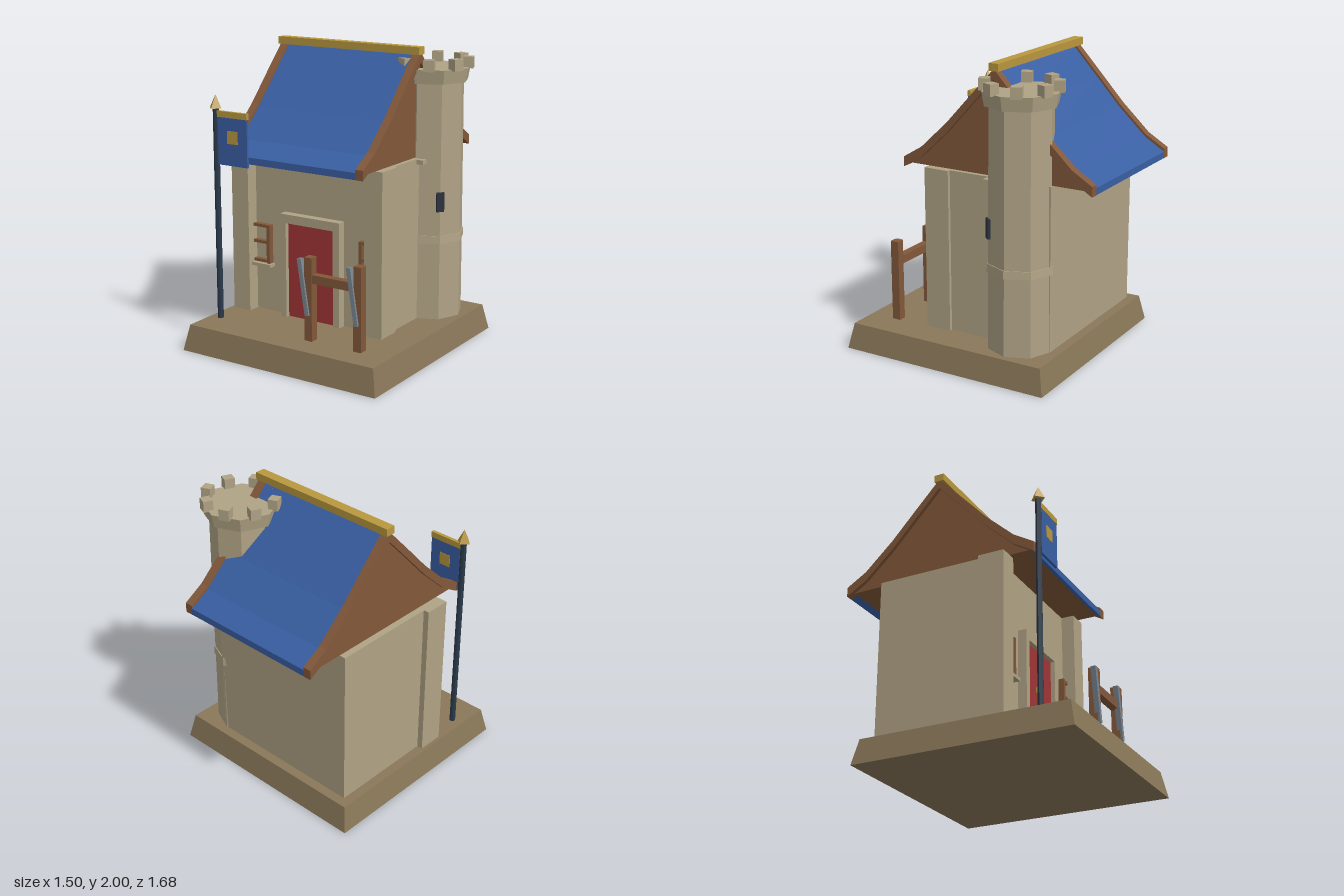
import * as THREE from 'three';

const mat = (name, color) => {
  const m = new THREE.MeshStandardMaterial({ color });
  m.name = name;
  m.flatShading = true;
  return m;
};

export function createModel() {
  const stone = mat('stone', 0xb0a385);
  const earth = mat('earth', 0x897758);
  const blue = mat('blue', 0x395fa3);
  const red = mat('red', 0xa23636);
  const wood = mat('wood', 0x82583a);
  const gold = mat('gold', 0xb9973f);
  const navy = mat('navy', 0x2a394a);
  const dark = mat('dark', 0x2a303c);
  const steel = mat('steel', 0x7c8791);

  const model = new THREE.Group();
  model.name = 'gatehouse';
  const add = (name, geo, m, x = 0, y = 0, z = 0) => {
    const mesh = new THREE.Mesh(geo, m);
    mesh.name = name;
    mesh.position.set(x, y, z);
    model.add(mesh);
    return mesh;
  };
  // box given by its limits on each axis
  const box = (name, m, [x0, x1], [y0, y1], [z0, z1]) =>
    add(name, new THREE.BoxGeometry(x1 - x0, y1 - y0, z1 - z0), m,
      (x0 + x1) / 2, (y0 + y1) / 2, (z0 + z1) / 2);

  // sloping plinth
  const ground = 0.175;
  const plinth = new THREE.CylinderGeometry(0.715 * Math.SQRT2, 0.75 * Math.SQRT2, ground, 4);
  plinth.rotateY(Math.PI / 4);
  add('plinth', plinth, earth, 0, ground / 2, 0.09);

  // house walls and front corner piers
  const wallTop = 1.275;
  box('walls', stone, [-0.65, 0.475], [ground, wallTop], [-0.56, 0.27]);
  box('rightPier', stone, [-0.69, -0.555], [ground, wallTop], [0.18, 0.36]);
  box('leftPier', stone, [0.365, 0.498], [ground, wallTop], [0.18, 0.36]);
  box('wallBracket', stone, [0.47, 0.525], [1.24, 1.27], [-0.145, -0.1]);

  // door with stone surround
  box('doorJamb', stone, [-0.315, -0.27], [ground, 0.89], [0.26, 0.33]);
  box('doorJamb', stone, [0.105, 0.155], [ground, 0.89], [0.26, 0.33]);
  box('doorLintel', stone, [-0.27, 0.105], [0.83, 0.89], [0.26, 0.33]);
  box('door', red, [-0.27, 0.105], [ground, 0.83], [0.26, 0.3]);
  box('doorHandle', gold, [-0.12, -0.045], [0.53, 0.57], [0.3, 0.309]);

  // windows tucked against the piers
  for (const [x0, x1, postX, sill] of [
    [-0.56, -0.42, -0.445, [-0.56, -0.405]],
    [0.29, 0.37, 0.29, [0.275, 0.37]],
  ]) {
    box('windowPost', wood, [postX, postX + 0.025], [0.515, 0.785], [0.26, 0.31]);
    for (const y of [0.52, 0.652, 0.765])
      box('windowBar', wood, [x0, x1], [y, y + 0.02], [0.26, 0.305]);
    box('windowSill', stone, sill, [0.495, 0.517], [0.26, 0.33]);
  }

  // curved roof: half profile as distance from the ridge and height
  const ridgeZ = -0.15;
  const slope = [[0, 1.965], [0.18, 1.772], [0.35, 1.587], [0.55, 1.4], [0.69, 1.316]];
  const line = (drop) => [
    ...slope.slice().reverse().map(([d, y]) => [-d, y - drop]),
    ...slope.slice(1).map(([d, y]) => [d, y - drop]),
  ];
  // extrude a (z, y) outline along x
  const alongX = (name, m, pts, x0, x1) => {
    const shape = new THREE.Shape(pts.map(([d, y]) => new THREE.Vector2(-d, y)));
    const geo = new THREE.ExtrudeGeometry(shape, { depth: x1 - x0, bevelEnabled: false });
    geo.rotateY(Math.PI / 2);
    return add(name, geo, m, x0, 0, ridgeZ);
  };
  const band = (top, bottom) => [...line(top), ...line(bottom).reverse()];
  alongX('roofSlopes', blue, band(0.02, 0.065), -0.575, 0.415);
  alongX('gableTrim', wood, band(0, 0.066), -0.63, -0.573);
  alongX('gableTrim', wood, band(0, 0.066), 0.413, 0.47);
  const attic = [[-0.648, wallTop], ...line(0.06).slice(1, -1), [0.648, wallTop]];
  alongX('gable', wood, attic, -0.605, 0.445);
  box('ridgeBeam', gold, [-0.635, 0.475], [1.95, 2], [-0.185, -0.117]);

  // octagonal tower
  const tx = 0.455, tz = -0.342;
  const ring = (name, top, bottom, y0, y1) => {
    const geo = new THREE.CylinderGeometry(top, bottom, y1 - y0, 8);
    add(name, geo, stone, tx, (y0 + y1) / 2, tz);
  };
  ring('towerShaft', 0.21, 0.222, ground, 1.78);
  ring('towerBand', 0.224, 0.228, 0.7, 0.752);
  ring('towerCap', 0.255, 0.238, 1.765, 1.857);
  for (let i = 0; i < 8; i++) {
    const a = (i + 0.5) * Math.PI / 4;
    const merlon = add('merlon', new THREE.BoxGeometry(0.07, 0.075, 0.065), stone,
      tx + Math.sin(a) * 0.232, 1.887, tz + Math.cos(a) * 0.232);
    merlon.rotation.y = a;
  }
  const slit = add('arrowSlit', new THREE.BoxGeometry(0.05, 0.13, 0.03), dark,
    tx + 0.15, 0.985, tz + 0.15);
  slit.rotation.y = Math.PI / 4;

  // rack with two leaning blades
  box('rackPost', wood, [0.09, 0.146], [ground, 0.73], [0.573, 0.632]);
  box('rackPost', wood, [0.46, 0.516], [ground, 0.73], [0.573, 0.632]);
  box('rackBeam', wood, [0.14, 0.465], [0.563, 0.62], [0.575, 0.628]);
  for (const x of [0.086, 0.457]) {
    const blade = add('blade', new THREE.BoxGeometry(0.03, 0.375, 0.035), steel, x, 0.532, 0.628);
    blade.rotation.z = 0.155;
  }

  // banner pole
  const px = -0.637, pz = 0.578;
  add('bannerPole', new THREE.CylinderGeometry(0.02, 0.02, 1.44, 8), navy, px, 0.89, pz);
  add('poleTip', new THREE.ConeGeometry(0.048, 0.09, 4), gold, px, 1.65, pz);
  box('bannerBar', gold, [-0.62, -0.38], [1.55, 1.59], [0.566, 0.59]);
  box('banner', blue, [-0.617, -0.382], [1.235, 1.55], [0.57, 0.586]);
  box('bannerPatch', gold, [-0.54, -0.456], [1.38, 1.465], [0.567, 0.589]);

  return model;
}
